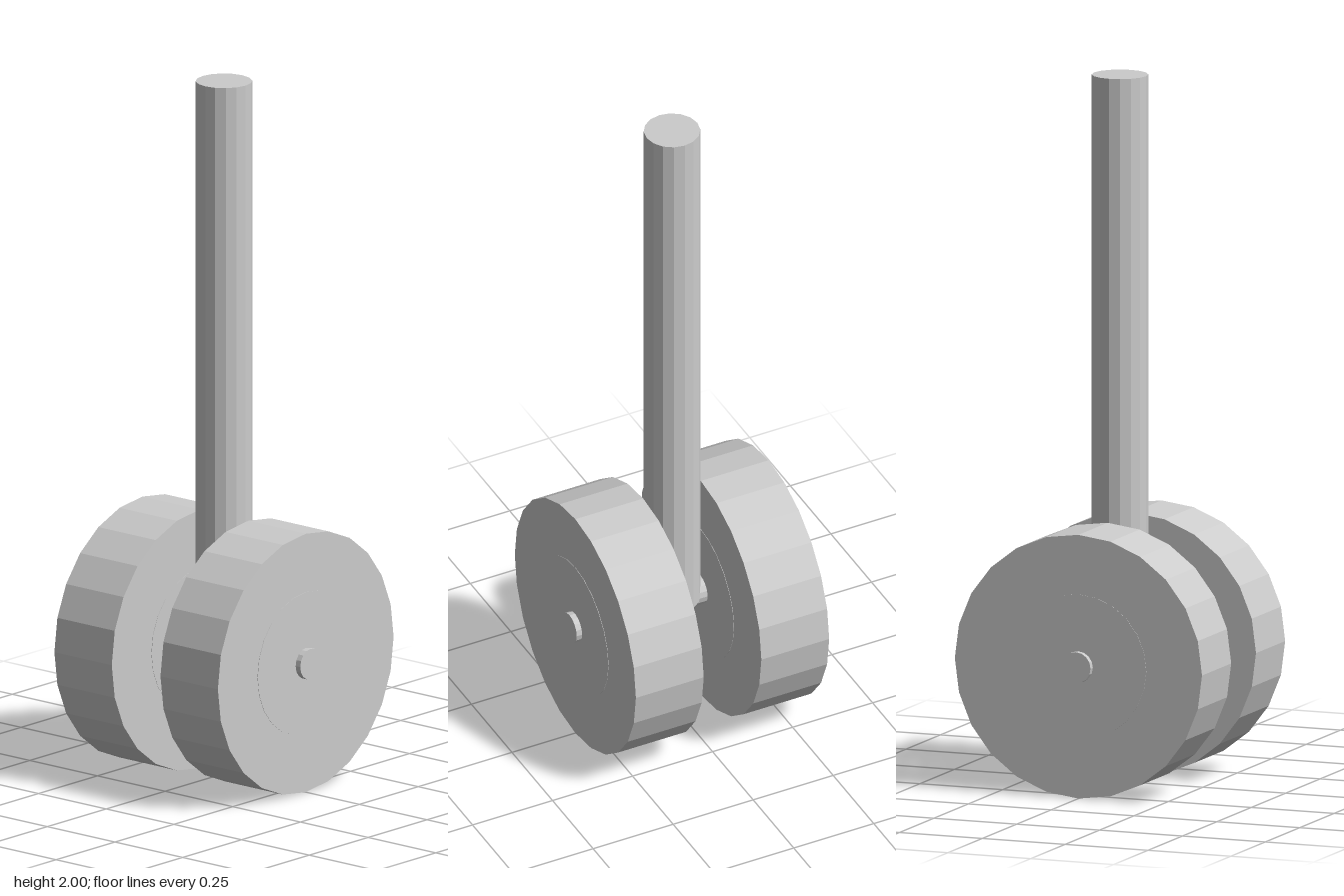
import * as THREE from 'three';

export function createModel() {
  const group = new THREE.Group();
  const material = new THREE.MeshStandardMaterial({ color: 0xcccccc, flatShading: true });
  const wheelRadius = 0.373;

  const addCylinder = (name, radius, length, sides, x, y, alongX) => {
    const geometry = new THREE.CylinderGeometry(radius, radius, length, sides);
    if (alongX) geometry.rotateZ(Math.PI / 2);
    const mesh = new THREE.Mesh(geometry, material);
    mesh.name = name;
    mesh.position.set(x, y, 0);
    group.add(mesh);
  };

  // upright strut, ending at the axle centre
  addCylinder('strut', 0.079, 2 - wheelRadius, 16, 0, (2 + wheelRadius) / 2, false);

  // axle through both wheels
  addCylinder('axle', 0.044, 0.64, 16, 0, wheelRadius, true);

  // twin wheels, each with a barely raised hub disc
  for (const [side, label] of [[1, 'left'], [-1, 'right']]) {
    addCylinder(label + 'Wheel', wheelRadius, 0.212, 24, side * 0.196, wheelRadius, true);
    addCylinder(label + 'Hub', 0.205, 0.214, 24, side * 0.196, wheelRadius, true);
  }

  return group;
}
